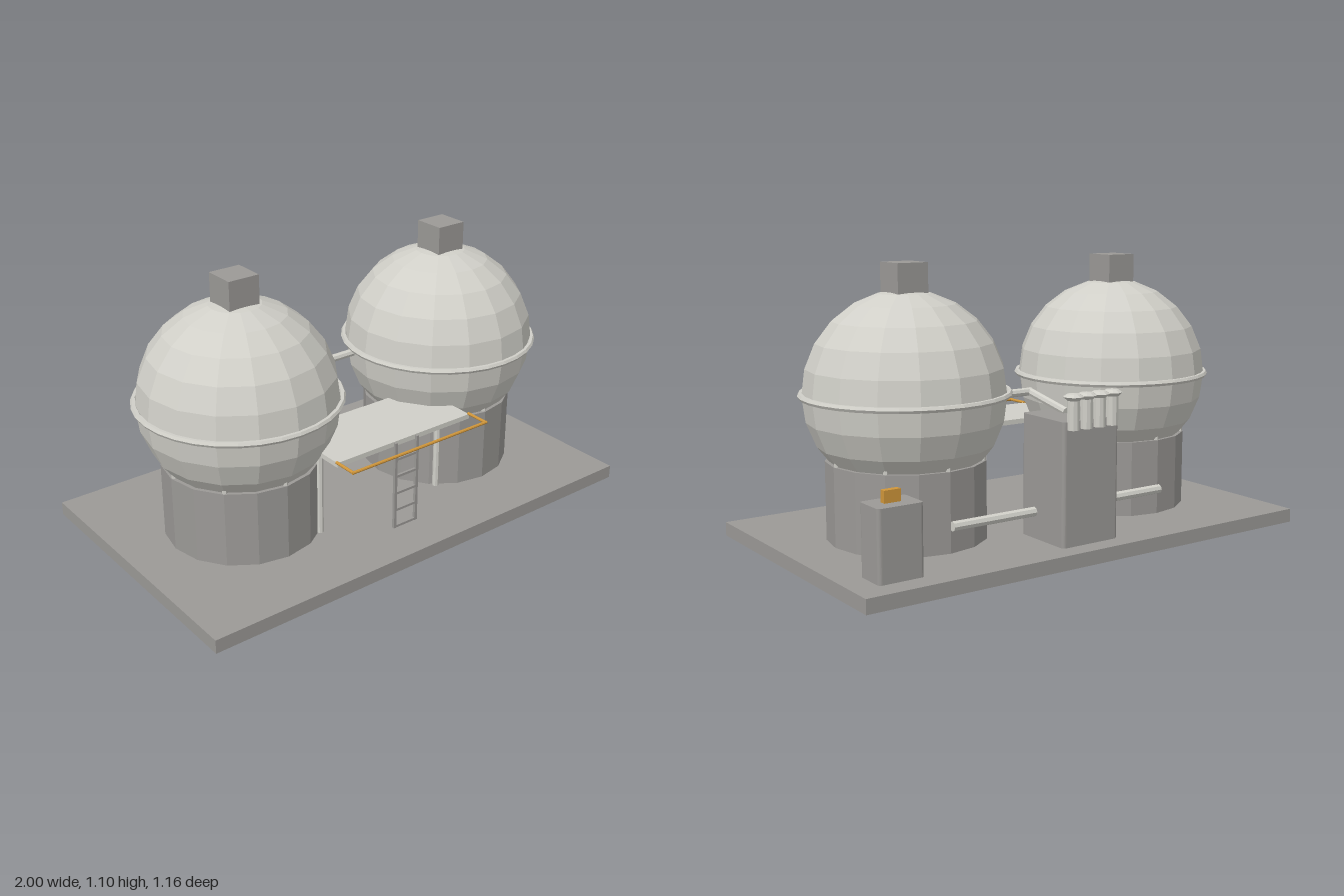
import * as THREE from 'three';

export function createModel() {
  const root = new THREE.Group();
  const material = (name, color) => {
    const m = new THREE.MeshStandardMaterial({ color, flatShading: true });
    m.name = name;
    return m;
  };
  const grey = material('concreteGrey', 0x9b9996);
  const pale = material('paleMetal', 0xd0cfc8);
  const amber = material('amber', 0xd0963a);

  const add = (name, geometry, mat, x = 0, y = 0, z = 0, parent = root) => {
    const mesh = new THREE.Mesh(geometry, mat);
    mesh.name = name;
    mesh.position.set(x, y, z);
    parent.add(mesh);
    return mesh;
  };
  const box = (w, h, d) => new THREE.BoxGeometry(w, h, d);

  // Straight rod between two points
  const rod = (name, a, b, r, mat, parent = root, sides = 8) => {
    const p = new THREE.Vector3(...a), q = new THREE.Vector3(...b);
    const dir = q.clone().sub(p);
    const mesh = add(name, new THREE.CylinderGeometry(r, r, dir.length(), sides), mat, 0, 0, 0, parent);
    mesh.position.copy(p).add(q).multiplyScalar(0.5);
    mesh.quaternion.setFromUnitVectors(new THREE.Vector3(0, 1, 0), dir.normalize());
    return mesh;
  };

  // Upright block with rounded vertical corners
  const roundedBlock = (w, h, d, r) => {
    const s = new THREE.Shape();
    const x = w / 2, z = d / 2;
    s.absarc(x - r, z - r, r, 0, Math.PI / 2);
    s.absarc(-x + r, z - r, r, Math.PI / 2, Math.PI);
    s.absarc(-x + r, -z + r, r, Math.PI, Math.PI * 1.5);
    s.absarc(x - r, -z + r, r, Math.PI * 1.5, Math.PI * 2);
    return new THREE.ExtrudeGeometry(s, { depth: h, bevelEnabled: false, curveSegments: 4 }).rotateX(-Math.PI / 2);
  };

  const floor = 0.055;
  add('basePlate', box(2, floor, 1.16), grey, 0, floor / 2, 0);

  // Two spherical tanks on round pedestals
  for (const side of [-1, 1]) {
    const tank = new THREE.Group();
    tank.name = side > 0 ? 'leftTank' : 'rightTank';
    tank.position.x = side * 0.5;
    root.add(tank);
    add('pedestal', new THREE.CylinderGeometry(0.31, 0.31, 0.305, 16), grey, 0, 0.2075, 0, tank);
    add('sphere', new THREE.SphereGeometry(0.39, 16, 12), pale, 0, 0.61, 0, tank);
    add('equatorRing', new THREE.TorusGeometry(0.394, 0.012, 6, 32).rotateX(Math.PI / 2), pale, 0, 0.61, 0, tank);
    add('topHatch', box(0.13, 0.13, 0.13), grey, 0, 1.037, 0, tank);
    // Support legs just breaking out above the pedestal rim
    for (let i = 0; i < 8; i++) {
      const a = (i * Math.PI) / 4, x = Math.cos(a) * 0.297, z = Math.sin(a) * 0.297;
      rod('supportLeg', [x, floor, z], [x, 0.375, z], 0.01, pale, tank, 6);
    }
    // Platform post
    rod('platformPost', [-side * 0.2, floor, 0.24], [-side * 0.2, 0.42, 0.24], 0.014, pale, tank);
  }

  // Walkway between the tanks, with its rail
  add('platform', box(0.66, 0.02, 0.31), pale, 0, 0.424, 0.235);
  const rail = new THREE.Group();
  rail.name = 'handrail';
  root.add(rail);
  rod('railFront', [-0.335, 0.435, 0.485], [0.335, 0.435, 0.485], 0.006, amber, rail);
  for (const s of [-1, 1]) rod('railEnd', [s * 0.33, 0.435, 0.385], [s * 0.33, 0.435, 0.485], 0.006, amber, rail);

  // Ladder
  const ladder = new THREE.Group();
  ladder.name = 'ladder';
  root.add(ladder);
  for (const s of [-1, 1]) add('ladderRail', box(0.012, 0.375, 0.012), grey, s * 0.053, 0.2425, 0.395, ladder);
  for (let i = 0; i < 5; i++) add('rung', box(0.1, 0.01, 0.01), grey, 0, 0.06 + i * 0.0745, 0.395, ladder);

  // Service tower with four capped vents
  add('serviceTower', roundedBlock(0.26, 0.475, 0.26, 0.014), grey, 0, floor, -0.37);
  const capProfile = [[0, 0.608], [0.024, 0.61], [0.039, 0.624], [0.024, 0.634], [0, 0.637]]
    .map(([r, y]) => new THREE.Vector2(r, y));
  for (let i = 0; i < 4; i++) {
    const x = -0.092 + i * 0.061;
    rod('ventPipe', [x, 0.5, -0.505], [x, 0.615, -0.505], 0.024, pale, root, 10);
    add('ventCap', new THREE.LatheGeometry(capProfile, 10), pale, x, 0, -0.505);
  }

  // Upper feed pipe from the tower into the left tank
  rod('feedPipe', [0, 0.535, -0.345], [0, 0.582, -0.11], 0.016, pale);
  rod('feedPipe', [-0.005, 0.582, -0.11], [0.15, 0.582, -0.11], 0.016, pale);
  add('feedElbow', new THREE.SphereGeometry(0.017, 8, 6), pale, 0, 0.582, -0.11);

  // Low transfer pipe joining both tanks through the tower
  rod('transferPipe', [-0.5, 0.16, -0.32], [0.5, 0.16, -0.32], 0.019, pale);

  // Control cabinet with a beacon
  add('controlCabinet', roundedBlock(0.18, 0.265, 0.13, 0.014), grey, 0.81, floor, -0.425);
  add('beacon', box(0.065, 0.045, 0.025), amber, 0.812, 0.3425, -0.423);

  return root;
}
